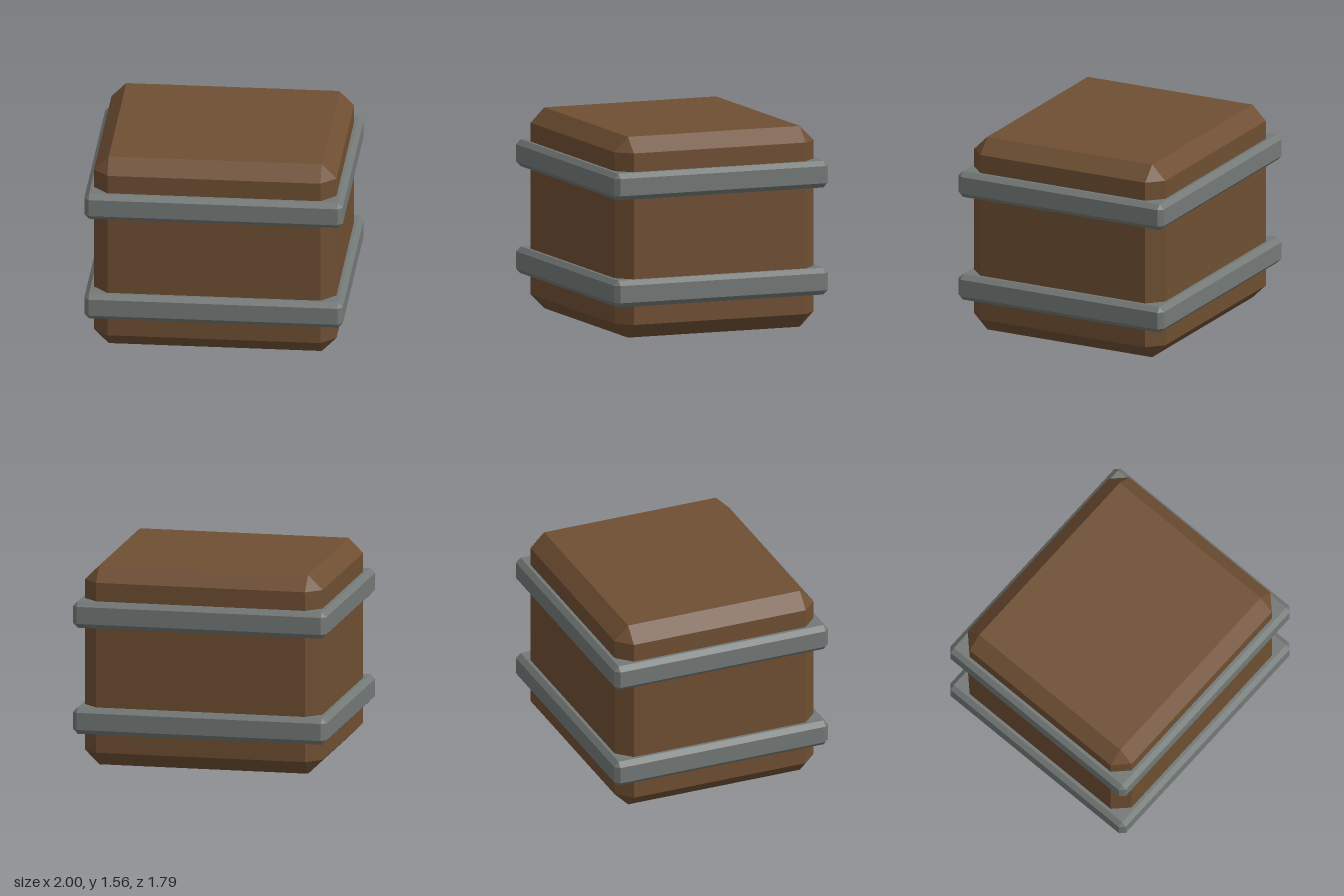
import * as THREE from 'three';
import { ConvexGeometry } from 'three/addons/geometries/ConvexGeometry.js';

// Box with flat chamfers on every edge and a triangle at every corner
function chamferedBox(width, height, depth, chamfer) {
  const half = [width / 2, height / 2, depth / 2];
  const points = [];
  for (const sx of [-1, 1]) for (const sy of [-1, 1]) for (const sz of [-1, 1]) {
    for (let axis = 0; axis < 3; axis++) {
      // One corner point on each of the three faces meeting here
      const p = half.map((h, i) => (i === axis ? h : h - chamfer));
      points.push(new THREE.Vector3(p[0] * sx, p[1] * sy, p[2] * sz));
    }
  }
  return new ConvexGeometry(points);
}

export function createModel() {
  const model = new THREE.Group();
  model.name = 'bandedCrate';
  const wood = new THREE.MeshStandardMaterial({ color: 0x6f4f33, flatShading: true });
  const metal = new THREE.MeshStandardMaterial({ color: 0x737977, flatShading: true });

  const add = (name, geometry, material, y) => {
    const mesh = new THREE.Mesh(geometry, material);
    mesh.name = name;
    mesh.position.y = y;
    model.add(mesh);
  };

  // Wooden body
  add('body', chamferedBox(1.876, 1.564, 1.666, 0.114), wood, 0.782);

  // Two metal bands around the body
  const band = chamferedBox(2, 0.208, 1.79, 0.037);
  add('lowerBand', band, metal, 0.366);
  add('upperBand', band, metal, 1.2);

  return model;
}
